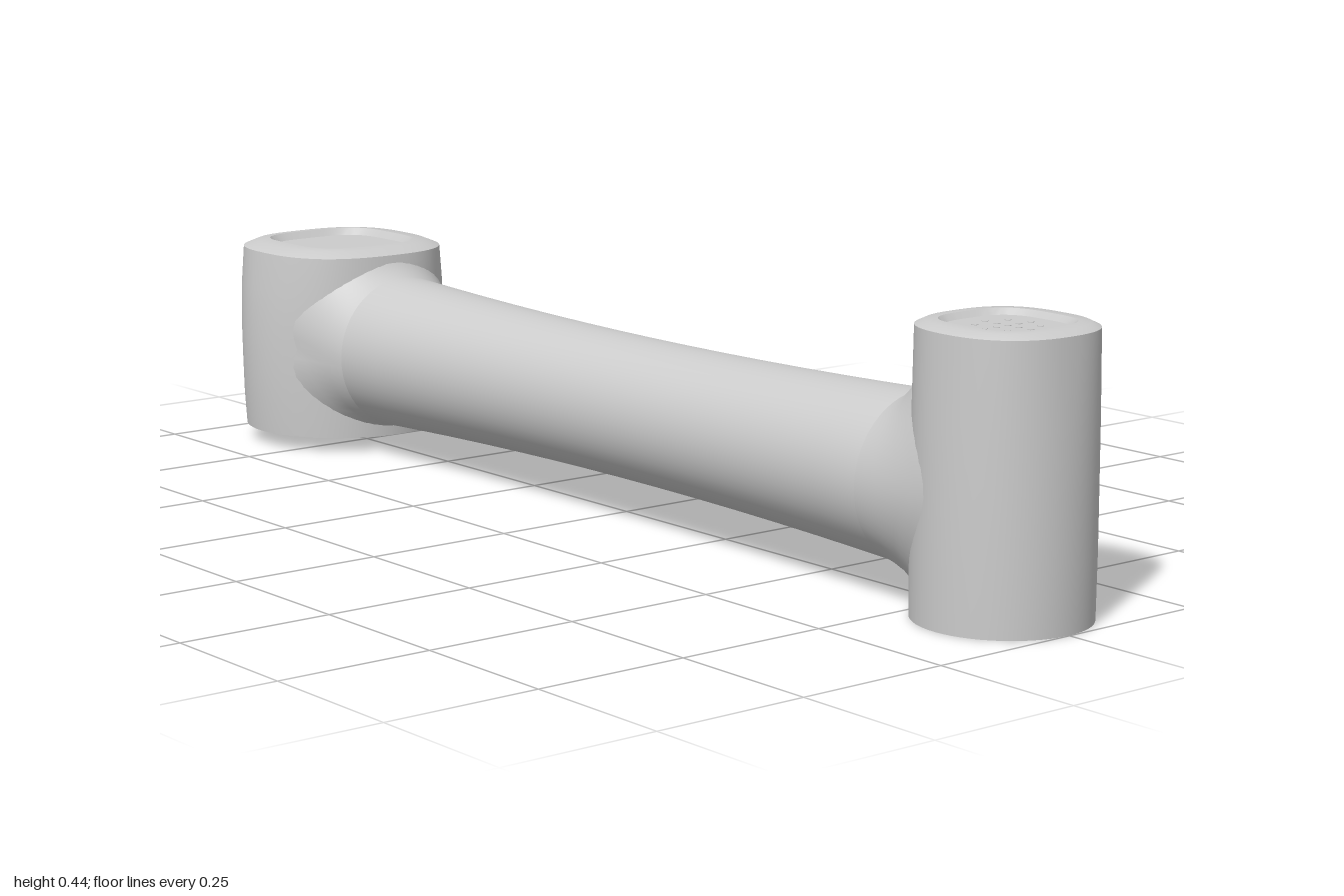
import * as THREE from 'three';
import { toCreasedNormals } from 'three/addons/utils/BufferGeometryUtils.js';

const SEG = 56;

// Skin a surface over equal-length rings of points, optionally closing both ends
function loft(rings, capped) {
  const pos = rings.flat(2);
  const index = [];
  const last = (rings.length - 1) * SEG;
  for (let i = 0; i < rings.length - 1; i++) {
    for (let j = 0; j < SEG; j++) {
      const k = (j + 1) % SEG;
      const a = i * SEG + j, b = i * SEG + k, c = a + SEG, d = b + SEG;
      index.push(a, c, b, b, c, d);
    }
  }
  if (capped) {
    const centre = ring => [0, 1, 2].map(k => ring.reduce((s, p) => s + p[k], 0) / SEG);
    const c0 = pos.length / 3, c1 = c0 + 1;
    pos.push(...centre(rings[0]), ...centre(rings[rings.length - 1]));
    for (let j = 0; j < SEG; j++) {
      const k = (j + 1) % SEG;
      index.push(c0, j, k, c1, last + k, last + j);
    }
  }
  const g = new THREE.BufferGeometry();
  g.setAttribute('position', new THREE.Float32BufferAttribute(pos, 3));
  g.setIndex(index);
  return toCreasedNormals(g, 0.45);
}

// Horizontal rounded-square ring; power 2 is an ellipse, higher is squarer
function cupRing(cx, [y, rx, rz, power]) {
  const soft = v => Math.sign(v) * Math.pow(Math.abs(v), 2 / power);
  return Array.from({ length: SEG }, (_, j) => {
    const a = (j / SEG) * Math.PI * 2;
    return [cx + rx * soft(Math.cos(a)), y, rz * soft(Math.sin(a))];
  });
}

// Upright ring across the handle; bow wraps its sides round a cup
function handleRing([x, cy, ry, rz, bow]) {
  return Array.from({ length: SEG }, (_, j) => {
    const a = (j / SEG) * Math.PI * 2;
    const s = Math.sin(a);
    return [x + bow * (1 - Math.abs(s)), cy + ry * s, rz * Math.cos(a)];
  });
}

export function createModel() {
  const group = new THREE.Group();
  const grey = new THREE.MeshStandardMaterial({ color: 0xcccccc });
  const add = (name, geometry) => {
    const mesh = new THREE.Mesh(geometry, grey);
    mesh.name = name;
    group.add(mesh);
    return mesh;
  };

  // Wide, low earpiece with a dished top: y, rx, rz, power
  const earpiece = [
    [0.025, 0.175, 0.175, 2], [0.08, 0.177, 0.179, 2], [0.14, 0.178, 0.18, 2.02],
    [0.2, 0.177, 0.179, 2.1], [0.28, 0.172, 0.173, 2.3], [0.345, 0.163, 0.163, 2.6],
    [0.355, 0.138, 0.138, 2.8], [0.357, 0.113, 0.11, 3.6], [0.345, 0.104, 0.101, 3.6],
  ];
  add('earpiece', loft(earpiece.map(r => cupRing(-0.822, r)), true));

  // Narrow, tall mouthpiece
  const mouthpiece = [
    [0, 0.134, 0.134, 2], [0.1, 0.135, 0.135, 2], [0.2, 0.134, 0.134, 2.03],
    [0.3, 0.132, 0.132, 2.1], [0.427, 0.125, 0.125, 2.4], [0.434, 0.108, 0.108, 2.7],
    [0.435, 0.088, 0.086, 3.2], [0.426, 0.08, 0.078, 3.2],
  ];
  add('mouthpiece', loft(mouthpiece.map(r => cupRing(0.865, r)), true));

  // Waisted handle between two flared collars: x, centre y, ry, rz, bow
  const grip = [];
  for (let i = 0; i <= 14; i++) {
    const x = -0.63 + (1.32 * i) / 14;
    const t = ((x - 0.05) / 0.66) ** 2;
    grip.push([x, 0.177, 0.116 + 0.015 * t, 0.115 + 0.017 * t, 0]);
  }
  const earCollar = [
    [-0.665, 0.184, 0.158, 0.168, -0.11], [-0.656, 0.183, 0.147, 0.155, -0.07],
    [-0.645, 0.18, 0.137, 0.142, -0.025], grip[0],
  ];
  const mouthCollar = [
    grip[14], [0.706, 0.179, 0.138, 0.131, 0.03], [0.722, 0.184, 0.153, 0.131, 0.07],
    [0.731, 0.188, 0.168, 0.131, 0.1], [0.738, 0.191, 0.183, 0.131, 0.13],
  ];
  add('handle', loft(grip.map(handleRing), false));
  add('earCollar', loft(earCollar.map(handleRing), false));
  add('mouthCollar', loft(mouthCollar.map(handleRing), false));

  // Small sound holes on the mouthpiece floor
  const hole = new THREE.CylinderGeometry(0.005, 0.005, 0.002, 10);
  for (const [count, radius] of [[1, 0], [4, 0.022], [8, 0.046]]) {
    for (let i = 0; i < count; i++) {
      const a = (i / count) * Math.PI * 2;
      add('soundHole', hole).position.set(0.865 + radius * Math.cos(a), 0.4258, radius * Math.sin(a));
    }
  }
  return group;
}
